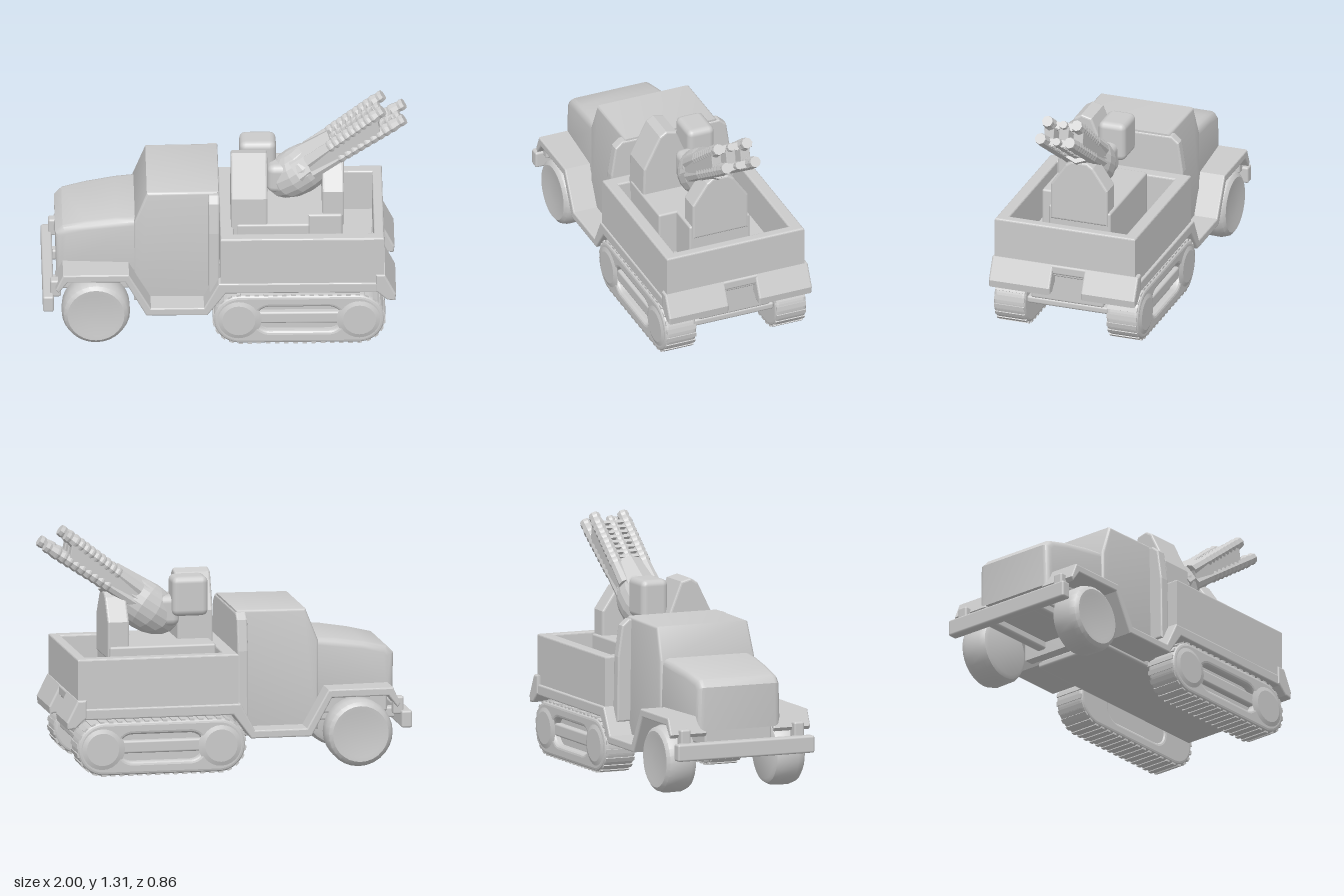
import * as THREE from 'three';
import { RoundedBoxGeometry } from 'three/addons/geometries/RoundedBoxGeometry.js';
import { toCreasedNormals } from 'three/addons/utils/BufferGeometryUtils.js';

const grey = new THREE.MeshStandardMaterial({ color: 0xcccccc });
const faceted = new THREE.MeshStandardMaterial({ color: 0xcccccc, flatShading: true });

function add(parent, name, geometry, material = grey) {
  const mesh = new THREE.Mesh(geometry, material);
  mesh.name = name;
  parent.add(mesh);
  return mesh;
}

// Box given by its limits on each axis
function box(parent, name, x0, x1, y0, y1, z0, z1, r = 0.012) {
  const m = add(parent, name, new RoundedBoxGeometry(x1 - x0, y1 - y0, z1 - z0, 2, r));
  m.position.set((x0 + x1) / 2, (y0 + y1) / 2, (z0 + z1) / 2);
  return m;
}

const toShape = pts => new THREE.Shape(pts.map(p => new THREE.Vector2(p[0], p[1])));

// Bevelled slab from z0 to z1 (bevel stays inside the outline)
function slab(shape, z0, z1, bevel = 0.01) {
  const g = new THREE.ExtrudeGeometry(shape, {
    depth: z1 - z0 - 2 * bevel, bevelEnabled: bevel > 0, bevelSize: bevel,
    bevelThickness: bevel, bevelOffset: -bevel, bevelSegments: 3, curveSegments: 16,
  });
  return g.translate(0, 0, z0 + bevel);
}

// Slab with a (z, y) outline running along x
const slabX = (pts, x0, x1, bevel) =>
  slab(toShape(pts.map(([z, y]) => [-z, y])), x0, x1, bevel).rotateY(Math.PI / 2);

// Scale the width by a rule of x and y
function taper(g, rule) {
  const p = g.attributes.position;
  for (let i = 0; i < p.count; i++) p.setZ(i, p.getZ(i) * rule(p.getX(i), p.getY(i)));
  return toCreasedNormals(g, 0.6);
}

function stadium(x0, x1, y, r) {
  const s = new THREE.Shape();
  s.moveTo(x0, y - r);
  s.lineTo(x1, y - r);
  s.absarc(x1, y, r, -Math.PI / 2, Math.PI / 2, false);
  s.lineTo(x0, y + r);
  s.absarc(x0, y, r, Math.PI / 2, Math.PI * 1.5, false);
  return s;
}

function makeWheel() {
  const profile = [[0, -0.085], [0.15, -0.09], [0.17, -0.08], [0.185, -0.05], [0.187, 0.04],
    [0.175, 0.075], [0.155, 0.09], [0.13, 0.088], [0.07, 0.08], [0, 0.083]];
  const g = new THREE.LatheGeometry(profile.map(p => new THREE.Vector2(...p)), 28);
  return toCreasedNormals(g.rotateX(Math.PI / 2), 0.6);
}

function makeTrack() {
  const track = new THREE.Group();
  track.name = 'track';
  const rim = stadium(0.08, 0.72, 0.154, 0.148);
  rim.holes.push(stadium(0.24, 0.56, 0.155, 0.075));
  add(track, 'trackBelt', slab(rim, 0.235, 0.42, 0.02));
  add(track, 'trackCore', slab(stadium(0.08, 0.72, 0.154, 0.12), 0.245, 0.375, 0));
  box(track, 'trackBar', 0.17, 0.63, 0.125, 0.195, 0.3, 0.41);
  for (const x of [0.07, 0.73]) {
    const hub = add(track, 'roadWheel', new THREE.CylinderGeometry(0.09, 0.125, 0.012, 24));
    hub.rotation.x = Math.PI / 2;
    hub.position.set(x, 0.154, 0.422);
  }
  // Tread cleats spaced along the belt
  stadium(0.08, 0.72, 0.154, 0.147).getSpacedPoints(44).slice(1).forEach(p => {
    const cx = Math.min(0.72, Math.max(0.08, p.x));
    const cleat = add(track, 'cleat', new THREE.BoxGeometry(0.025, 0.012, 0.172));
    cleat.position.set(p.x, p.y, 0.326);
    cleat.rotation.z = Math.atan2(p.y - 0.154, p.x - cx) - Math.PI / 2;
  });
  return track;
}

// Flat strip bent along front fender, running board and track guard
const fender = toShape([[-0.93, 0.35], [-0.89, 0.44], [-0.53, 0.44], [-0.41, 0.23], [-0.12, 0.23],
  [-0.04, 0.38], [0.87, 0.38], [0.87, 0.32], [0, 0.32], [-0.1, 0.185], [-0.435, 0.185],
  [-0.55, 0.395], [-0.865, 0.395], [-0.915, 0.33]]);

function makeGun() {
  const gun = new THREE.Group();
  gun.name = 'gun';
  // Cradle body
  const cradle = add(gun, 'cradle', new THREE.SphereGeometry(1, 14, 10), faceted);
  cradle.scale.set(0.21, 0.135, 0.125);
  cradle.position.set(0.41, 0.865, 0.01);
  cradle.rotation.z = 0.6;
  const breech = add(gun, 'breech', new THREE.CylinderGeometry(0.09, 0.125, 0.26, 8), faceted);
  breech.position.set(0.51, 0.955, 0.015);
  breech.rotation.z = 0.66 - Math.PI / 2;
  box(gun, 'breechHousing', 0.23, 0.42, 0.76, 0.93, -0.09, 0.1, 0.04);
  // Three columns of two ribbed barrels, the lower row longer
  const rows = [[[0.45, 0.965], [0.865, 1.287]], [[0.48, 0.9], [0.98, 1.232]]];
  for (const [a, b] of rows) {
    const dx = b[0] - a[0], dy = b[1] - a[1], full = Math.hypot(dx, dy);
    const row = new THREE.Group();
    row.name = 'barrelRow';
    row.position.set(a[0], a[1], 0.02);
    row.rotation.z = Math.atan2(dy, dx) - Math.PI / 2;
    gun.add(row);
    for (const z of [-0.085, 0, 0.085]) {
      const length = z ? full : full * 0.95, r = z ? 0.037 : 0.028;
      const profile = [[0, 0], [r, 0]];
      for (let i = 0; i < 9; i++) {
        const y = length * (0.28 + i * 0.07);
        profile.push([r - 0.005, y], [r, y + 0.012], [r, y + 0.022]);
      }
      profile.push([r - 0.007, length - 0.035], [r - 0.003, length - 0.02], [r - 0.006, length], [0, length]);
      const g = new THREE.LatheGeometry(profile.map(p => new THREE.Vector2(...p)), 8);
      add(row, 'barrel', g, faceted).position.z = z;
    }
    for (let i = 0; i < 9; i++) {
      const rib = add(row, 'crossRib', new THREE.BoxGeometry(0.04, 0.02, 0.17), faceted);
      rib.position.y = full * (0.3 + i * 0.07);
    }
  }
  // Webs joining the two rows, open near the muzzles
  const web = toShape([[0.48, 0.9], [0.85, 1.15], [0.83, 1.255], [0.45, 0.965]]);
  for (const z of [-0.065, 0.02, 0.105]) add(gun, 'barrelWeb', slab(web, z - 0.028, z + 0.028, 0.005));
  return gun;
}

export function createModel() {
  const truck = new THREE.Group();
  truck.name = 'gunTruck';

  // Cab with sloping windscreen, and its wider rear panel
  const cab = toShape([[-0.5, 0.2], [-0.04, 0.2], [-0.04, 0.875], [-0.43, 0.87], [-0.5, 0.69]]);
  add(truck, 'cab', taper(slab(cab, -0.285, 0.28, 0.015), (x, y) => (y > 0.8 ? 0.97 : 1)));
  add(truck, 'cabRearPanel', slabX([[-0.36, 0.3], [0.36, 0.3], [0.355, 0.66], [0.33, 0.83],
    [0.29, 0.865], [-0.29, 0.865], [-0.33, 0.83], [-0.355, 0.66]], -0.095, -0.035, 0.01));

  // Hood narrowing toward the nose and upward
  const hood = toShape([[-0.925, 0.36], [-0.46, 0.36], [-0.46, 0.705], [-0.6, 0.695], [-0.76, 0.67],
    [-0.89, 0.64], [-0.93, 0.6]]);
  add(truck, 'hood', taper(slab(hood, -0.28, 0.275, 0.04),
    (x, y) => (0.9 + 0.1 * (x + 0.93) / 0.45) * (y > 0.55 ? 0.97 : 1)));
  box(truck, 'engineBlock', -0.9, -0.45, 0.27, 0.42, -0.2, 0.2);

  // Chassis and floor
  box(truck, 'chassis', -0.45, 0.84, 0.2, 0.4, -0.21, 0.21);
  box(truck, 'floorPlate', -0.44, 0.84, 0.165, 0.205, -0.235, 0.235);
  box(truck, 'stepPlate', -0.43, -0.1, 0.185, 0.225, -0.41, 0.41);

  // Bumper and tail beam
  box(truck, 'frontBumper', -1, -0.94, 0.21, 0.305, -0.405, 0.415);
  box(truck, 'tailBeam', 0.8, 0.875, 0.375, 0.43, -0.13, 0.09);

  // Parts that repeat on both sides
  const flare = toShape([[0.82, 0.43], [0.87, 0.43], [0.93, 0.31], [0.925, 0.27], [0.88, 0.275], [0.82, 0.33]]);
  for (const s of [1, -1]) {
    add(truck, 'fender', slab(fender, s > 0 ? 0.2 : -0.42, s > 0 ? 0.42 : -0.2, 0.008));
    const wheel = add(truck, 'frontWheel', makeWheel());
    wheel.position.set(-0.71, 0.187, s * 0.325);
    if (s < 0) wheel.rotation.y = Math.PI;
    const track = makeTrack();
    if (s < 0) {
      track.rotation.y = Math.PI;
      track.position.x = 0.8;
    }
    truck.add(track);
    box(truck, 'frameRail', -0.96, -0.4, 0.23, 0.29, s * 0.16 - 0.03, s * 0.16 + 0.03);
    box(truck, 'bumperBracket', -0.96, -0.9, 0.28, 0.38, s * 0.34 - 0.03, s * 0.34 + 0.03);
    // Rear flared bumper halves with a gap between
    add(truck, 'rearBumper', s > 0 ? slab(flare, 0.07, 0.425) : slab(flare, -0.425, -0.11));
  }

  // Cargo bed with raised walls
  box(truck, 'bedFloor', -0.02, 0.85, 0.36, 0.42, -0.39, 0.4);
  const walls = toShape([[-0.03, -0.405], [0.865, -0.405], [0.865, 0.412], [-0.03, 0.412]]);
  walls.holes.push(new THREE.Path([[0.045, -0.335], [0.045, 0.345], [0.81, 0.345], [0.81, -0.335]]
    .map(p => new THREE.Vector2(...p))));
  add(truck, 'bedWalls', slab(walls, -0.655, -0.36, 0.01).rotateX(Math.PI / 2));

  // Gun platform
  box(truck, 'platform', 0.05, 0.64, 0.4, 0.675, -0.18, 0.18);
  box(truck, 'platformStep', 0.06, 0.46, 0.4, 0.675, 0.12, 0.285);

  // Shields at both ends of the platform
  add(truck, 'frontShield', slabX([[0, 0.6], [0.28, 0.6], [0.275, 0.83], [0.18, 1.02],
    [0.14, 1.045], [0.08, 1.03], [0, 0.83]], 0.03, 0.23, 0.012));
  add(truck, 'rearShield', slabX([[-0.165, 0.6], [0.165, 0.6], [0.165, 0.81], [0.08, 0.935],
    [0.045, 0.96], [-0.045, 0.96], [-0.08, 0.935], [-0.165, 0.81]], 0.53, 0.65, 0.012));

  // Sight box beside the breech
  box(truck, 'sightBox', 0.08, 0.28, 0.82, 1.04, -0.13, 0.03, 0.035);

  truck.add(makeGun());
  return truck;
}
